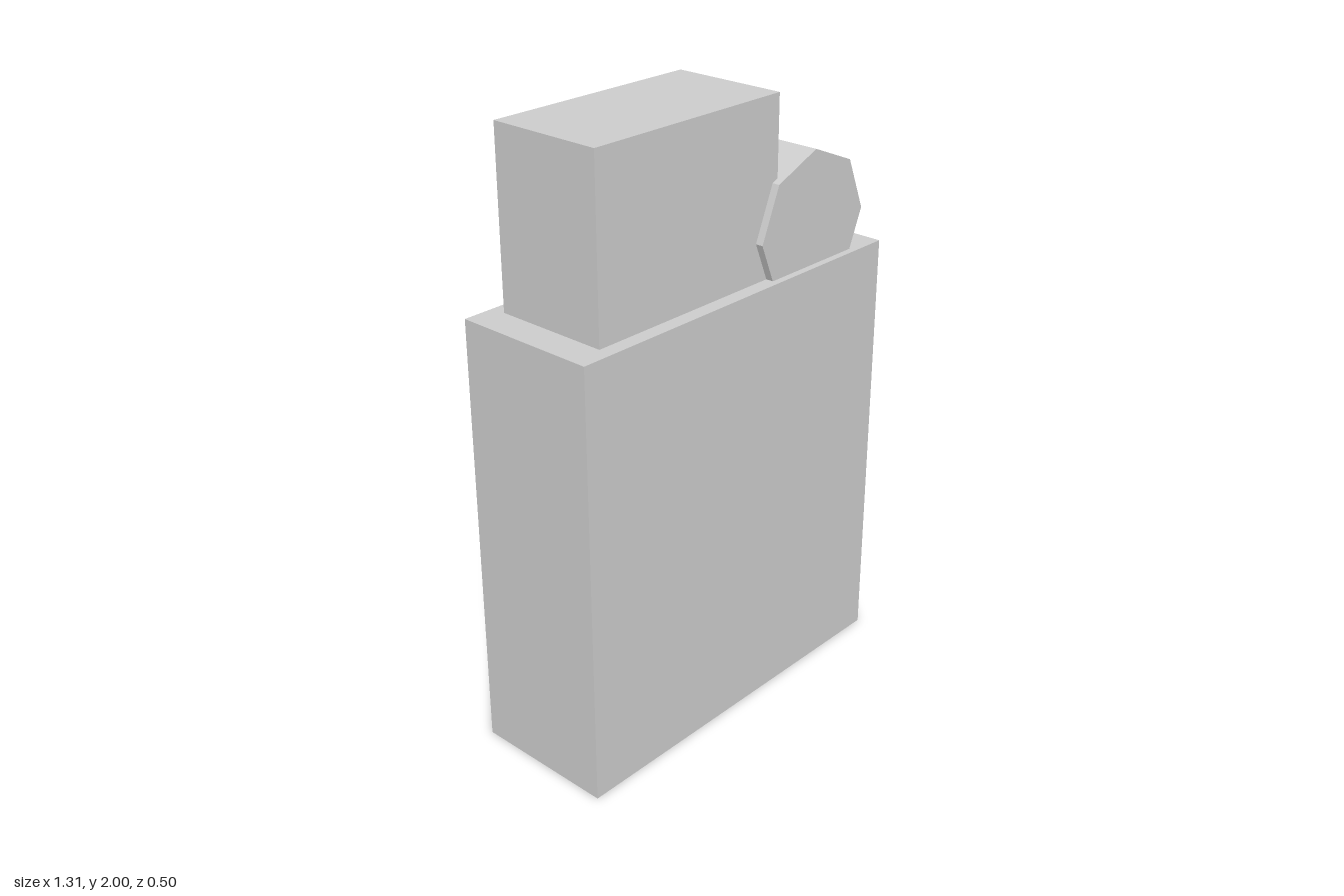
import * as THREE from 'three';

export function createModel() {
  const group = new THREE.Group();
  const grey = new THREE.MeshStandardMaterial({ color: 0xcccccc, flatShading: true });
  const panelGrey = grey.clone();
  grey.name = 'light grey';
  panelGrey.name = 'light grey panel';
  panelGrey.side = THREE.DoubleSide;

  const midZ = -0.008; // the solid parts share this centre plane

  const add = (name, geometry, x, y, z = midZ, material = grey) => {
    const mesh = new THREE.Mesh(geometry, material);
    mesh.name = name;
    mesh.position.set(x, y, z);
    group.add(mesh);
    return mesh;
  };

  // Main case
  add('body', new THREE.BoxGeometry(1.31, 1.44, 0.48), 0, 0.72);

  // Chimney block on the case
  add('chimney', new THREE.BoxGeometry(0.743, 0.56, 0.384), -0.179, 1.72);

  // Eight-sided wheel, partly sunk into the case
  add('wheel', new THREE.CylinderGeometry(0.24, 0.24, 0.434, 8).rotateX(Math.PI / 2), 0.34, 1.565);

  // Flat panel just in front of the case
  add('frontPanel', new THREE.PlaneGeometry(1.18, 1.3), 0, 0.722, 0.248, panelGrey);

  return group;
}
